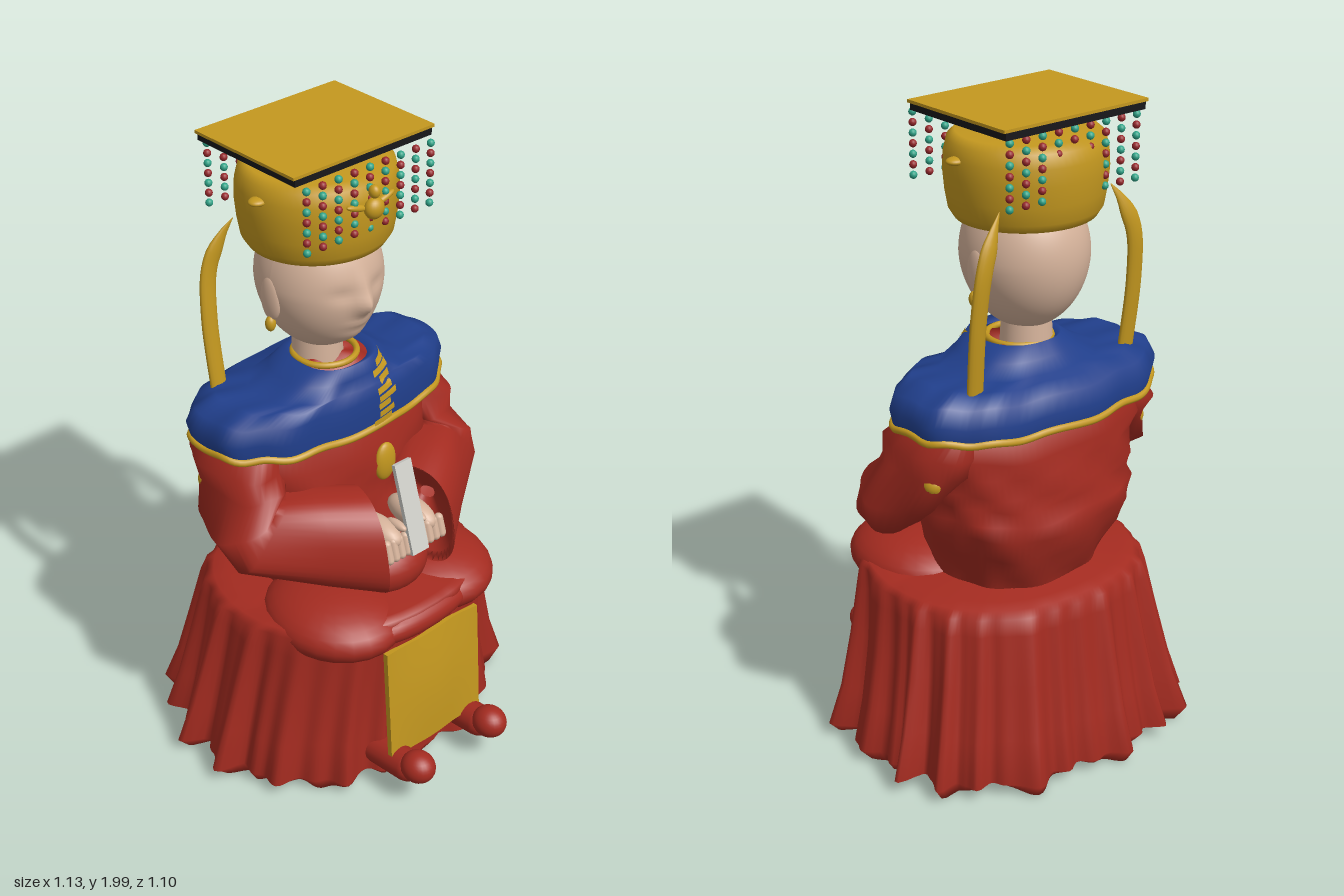
import * as THREE from 'three';

const mat = (name, color, side = THREE.FrontSide) => {
  const m = new THREE.MeshStandardMaterial({ color, side });
  m.name = name;
  return m;
};
const V = (x, y, z) => new THREE.Vector3(x, y, z);

// Closed-ring surface: f(i, a) gives the point on ring i at angle a
function loft(rows, seg, f, flip = false) {
  const pos = [], idx = [];
  for (let i = 0; i < rows; i++)
    for (let j = 0; j < seg; j++) pos.push(...f(i, (j / seg) * Math.PI * 2).toArray());
  for (let i = 0; i < rows - 1; i++)
    for (let j = 0; j < seg; j++) {
      const k = (j + 1) % seg, a = i * seg + j, b = i * seg + k, c = b + seg, d = a + seg;
      if (flip) idx.push(a, c, b, a, d, c);
      else idx.push(a, b, c, a, c, d);
    }
  const g = new THREE.BufferGeometry();
  g.setAttribute('position', new THREE.Float32BufferAttribute(pos, 3));
  g.setIndex(idx);
  g.computeVertexNormals();
  return g;
}

// Moves every vertex of a geometry by a rule
function reshape(geo, rule) {
  const p = geo.attributes.position;
  for (let i = 0; i < p.count; i++) p.setXYZ(i, ...rule(p.getX(i), p.getY(i), p.getZ(i)));
  geo.computeVertexNormals();
  return geo;
}

// Rounded horizontal ring from a row [y, half width, front z, back z]
const spow = (v, p) => Math.sign(v) * Math.abs(v) ** p;
function ring([y, rx, zf, zb], a, p = 0.88) {
  return V(rx * spow(Math.sin(a), p), y, (zf + zb) / 2 + ((zf - zb) / 2) * spow(Math.cos(a), p));
}

export function createModel() {
  const red = mat('robe red', 0xa42b20, THREE.DoubleSide);
  const blue = mat('cape blue', 0x203e8a, THREE.DoubleSide);
  const gold = mat('gold', 0xc4981f);
  const skin = mat('skin', 0xd6b39b);
  const black = mat('black', 0x17171a);
  const white = mat('tablet white', 0xcfcfc9);
  const green = mat('bead green', 0x2fa488);
  const beadRed = mat('bead red', 0x98282c);

  const root = new THREE.Group();
  const add = (name, geo, material, x = 0, y = 0, z = 0, parent = root) => {
    const m = new THREE.Mesh(geo, material);
    m.name = name;
    m.position.set(x, y, z);
    parent.add(m);
    return m;
  };
  const blob = (name, material, x, y, z, sx, sy, sz, parent) => {
    const m = add(name, new THREE.SphereGeometry(1, 24, 16), material, x, y, z, parent);
    m.scale.set(sx, sy, sz);
    return m;
  };

  // Pleated skirt, gathered underneath: [y, half width, front, back, pleat depth]
  const skirtRows = [
    [0.06, 0.01, -0.04, -0.06, 0], [0.05, 0.14, 0.08, -0.18, 0.01], [0.04, 0.3, 0.2, -0.31, 0.02],
    [0.025, 0.49, 0.35, -0.485, 0.05], [0.05, 0.515, 0.36, -0.505, 0.058], [0.18, 0.487, 0.345, -0.475, 0.042],
    [0.35, 0.455, 0.345, -0.447, 0.03], [0.5, 0.432, 0.355, -0.425, 0.018], [0.55, 0.425, 0.365, -0.418, 0.008],
    [0.568, 0.405, 0.365, -0.398, 0], [0.575, 0.36, 0.34, -0.36, 0], [0.59, 0.24, 0.2, -0.28, 0],
  ];
  add('pleatedSkirt', loft(skirtRows.length, 240, (i, a) => {
    const row = skirtRows[i], p = ring(row, a);
    const wave = 0.5 + 0.5 * Math.cos(18 * a + 1.6 * Math.sin(3 * a + 0.5) + 1.1 * Math.sin(5 * a + 1));
    const front = Math.max(0, Math.cos(a));
    const fine = 0.25 * Math.sin(31 * a + 2 * Math.sin(4 * a));
    const d = row[4] * (wave ** 2 * (1 + 0.4 * Math.sin(7 * a)) - 0.2 + fine) * (1 - 0.55 * front ** 2);
    p.x += Math.sin(a) * d;
    p.z += Math.cos(a) * d;
    if (i > 7) p.y += 0.04 * front;
    if (i > 0 && i < 3) p.y += 0.02 * (wave - 0.5);
    if (i === 3) p.y += 0.018 * Math.sin(11 * a);
    return p;
  }), red);

  // Upper robe with soft horizontal folds
  const torsoRows = [
    [0.56, 0.25, 0.14, -0.3], [0.62, 0.26, 0.13, -0.325], [0.7, 0.3, 0.12, -0.36], [0.78, 0.335, 0.11, -0.385],
    [0.83, 0.34, 0.1, -0.385], [0.87, 0.335, 0.1, -0.36], [0.92, 0.355, 0.1, -0.375], [0.97, 0.355, 0.1, -0.35],
    [1.03, 0.38, 0.09, -0.36], [1.12, 0.37, 0.07, -0.33], [1.2, 0.25, 0.03, -0.25], [1.29, 0.1, -0.01, -0.2],
    [1.29, 0.01, -0.1, -0.12],
  ];
  add('upperRobe', loft(torsoRows.length, 96, (i, a) => {
    const p = ring(torsoRows[i], a), d = i < 9 ? 0.007 * Math.sin(9 * a + i * 1.9) : 0;
    return p.add(V(Math.sin(a) * d, 0.01 * Math.sin(4 * a), Math.cos(a) * d));
  }), red);
  blob('lapFold', red, 0, 0.67, 0.15, 0.15, 0.1, 0.13);

  // Sleeves: [centre, axis u, axis v] from shoulder to cuff, then turned inside
  const sleeve = [
    [V(0.29, 1.12, -0.13), V(0.09, 0, 0), V(0, 0, 0.13)],
    [V(0.335, 1.05, -0.12), V(0.11, 0.01, 0), V(0, 0, 0.16)],
    [V(0.335, 0.985, -0.1), V(0.09, -0.01, -0.01), V(0.01, 0, 0.15)],
    [V(0.385, 0.92, -0.06), V(0.095, -0.05, -0.03), V(0.04, 0, 0.14)],
    [V(0.35, 0.87, 0.01), V(0.08, -0.11, -0.02), V(0.07, 0, 0.09)],
    [V(0.22, 0.835, 0.11), V(0, -0.145, 0.02), V(0.05, 0, 0.11)],
    [V(0.1, 0.815, 0.205), V(0, -0.155, 0.03), V(0.035, 0, 0.115)],
    [V(0.12, 0.815, 0.195), V(0, -0.135, 0.025), V(0.03, 0, 0.1)],
    [V(0.2, 0.815, 0.14), V(0, -0.02, 0), V(0.01, 0, 0.02)],
  ];
  // Flat strap path from the crown down to the shoulder
  const strapPath = new THREE.CatmullRomCurve3([V(0.205, 1.745, -0.25), V(0.24, 1.69, -0.265), V(0.277, 1.6, -0.275),
    V(0.292, 1.45, -0.265), V(0.286, 1.21, -0.24)]);

  for (const s of [1, -1]) {
    const side = s > 0 ? 'left' : 'right';
    add(side + 'Sleeve', loft(sleeve.length, 40, (i, b) => {
      const [c, u, v] = sleeve[i];
      const k = 1 + (i < 5 ? 0.06 * Math.sin(5 * b + i * 2) : 0);
      const p = c.clone().addScaledVector(u, k * spow(Math.cos(b), 0.8)).addScaledVector(v, k * spow(Math.sin(b), 0.8));
      p.x *= s;
      return p;
    }, s < 0), red);
    blob(side + 'Thigh', red, s * 0.19, 0.555, 0.14, 0.2, 0.1, 0.235);

    // Hand with four fingers and a thumb
    const hand = new THREE.Group();
    hand.name = side + 'Hand';
    hand.position.set(s * 0.07 - 0.01, 0.845, 0.215);
    root.add(hand);
    blob('palm', skin, 0, 0, 0, 0.045, 0.045, 0.095, hand);
    for (let i = 0; i < 4; i++) {
      const f = add('finger', new THREE.CapsuleGeometry(0.014, 0.05, 4, 10), skin, (i - 1.5) * 0.024, -0.022, 0.085, hand);
      f.rotation.x = -0.3;
    }
    blob('thumb', skin, -s * 0.03, 0.03, 0.05, 0.015, 0.015, 0.04, hand);

    // Shoe with round upturned toe
    const shoe = add(side + 'Shoe', new THREE.CapsuleGeometry(0.05, 0.16, 6, 18), red, s * 0.155 - 0.01, 0.115, 0.37);
    shoe.rotation.x = Math.PI / 2 - 0.1;
    blob(side + 'Toe', red, s * 0.155 - 0.01, 0.148, 0.495, 0.052, 0.05, 0.057);

    // Ear and earring
    blob(side + 'Ear', skin, s * 0.178 - 0.012, 1.53, -0.12, 0.018, 0.07, 0.04);
    blob(side + 'Earring', gold, s * 0.186 - 0.012, 1.452, -0.115, 0.016, 0.024, 0.016);

    // Gold strap with a pointed upper end
    add(side + 'Strap', loft(25, 14, (i, b) => {
      const t = i / 24, w = 0.028 * Math.min(1, 0.05 + t * 5);
      const p = strapPath.getPointAt(t), d = strapPath.getTangentAt(t);
      p.add(V(-d.y * Math.cos(b) * w, d.x * Math.cos(b) * w, Math.sin(b) * w * 0.5));
      p.x = p.x * s - 0.01;
      return p;
    }, s < 0), gold);
    blob(side + 'Hairpin', gold, s * 0.235 - 0.01, 1.86, -0.1, 0.03, 0.012, 0.025);
    blob(side + 'SashKnot', gold, s * 0.385, 0.965, -0.19, 0.035, 0.035, 0.035);
  }

  // Softly padded front apron panel
  const panelGeo = reshape(new THREE.BoxGeometry(0.38, 0.39, 0.014, 16, 16, 1), (x, y, z) => {
    const pad = 0.01 * Math.cos(x * 8) * Math.cos(y * 8) + 0.003 * Math.sin(x * 30 + 1);
    return [x, y + 0.004 * Math.sin(x * 25), z > 0 ? z + pad : z];
  });
  add('frontPanel', panelGeo, gold, -0.01, 0.335, 0.393).rotation.x = -0.07;
  blob('panelSwag', red, -0.01, 0.56, 0.33, 0.2, 0.05, 0.055);
  blob('sashRibbon', gold, 0.058, 0.97, 0.098, 0.04, 0.065, 0.02);

  // Shoulder cape
  const capeRows = [
    [1.1, 0.435, 0.085, -0.36], [1.15, 0.448, 0.085, -0.365], [1.2, 0.425, 0.08, -0.345], [1.23, 0.36, 0.072, -0.31],
    [1.235, 0.25, 0.065, -0.27], [1.27, 0.18, 0.055, -0.24], [1.31, 0.125, 0.045, -0.215], [1.295, 0.105, 0.02, -0.2],
  ];
  const capePoint = (i, a) => {
    const p = ring(capeRows[i], a, 0.82);
    const lift = i < 4 ? 0.015 * Math.sin(a) ** 2 + 0.004 * Math.sin(13 * a) : 0;
    const d = i < 5 ? 0.005 * Math.sin(10 * a + 1) : 0;
    return p.add(V(Math.sin(a) * d, lift, Math.cos(a) * d));
  };
  add('shoulderCape', loft(capeRows.length, 96, capePoint), blue);
  const hem = Array.from({ length: 64 }, (_, j) => capePoint(0, (j / 64) * Math.PI * 2));
  add('capeTrim', new THREE.TubeGeometry(new THREE.CatmullRomCurve3(hem, true), 160, 0.012, 8, true), gold);
  const collar = add('collarTrim', new THREE.TorusGeometry(0.095, 0.01, 8, 40), gold, -0.005, 1.297, -0.1);
  collar.rotation.x = Math.PI / 2;

  // Gold embroidery patches following the cape front
  const capeFront = (x, y) => {
    const i = Math.min(5, capeRows.filter(r => r[0] <= y).length - 1);
    const [lo, hi] = [i, i + 1].map(k => capePoint(k, Math.asin((x / capeRows[k][1]) ** (1 / 0.82))).z);
    const t = (y - capeRows[i][0]) / (capeRows[i + 1][0] - capeRows[i][0]);
    return lo + (hi - lo) * t;
  };
  for (let i = 0; i < 8; i++) {
    const cx = 0.058 + 0.028 * (i / 7) + (i % 2 ? 0.006 : -0.006), cy = 1.122 + 0.0245 * i;
    add('embroidery', reshape(new THREE.PlaneGeometry(0.072 - 0.012 * (i % 3), 0.019, 8, 4), (x, y) => {
      const px = cx + x, py = cy + y + 0.15 * x;
      return [px, py, capeFront(px, py) + 0.008];
    }), gold);
  }

  // Ceremonial tablet held in the hands
  const tablet = add('tablet', new THREE.BoxGeometry(0.065, 0.29, 0.014), white, -0.012, 0.93, 0.283);
  tablet.rotation.x = -0.3;

  // Neck and softly modelled head
  add('neck', new THREE.CylinderGeometry(0.072, 0.08, 0.14, 32), skin, -0.012, 1.32, -0.125);
  const bump = (x, y, cx, cy, w, h) => Math.exp(-(((x - cx) / w) ** 2) - ((y - cy) / h) ** 2);
  add('head', reshape(new THREE.SphereGeometry(1, 72, 56), (ux, uy, uz) => {
    const x = ux * 0.187 * (1 - 0.08 * Math.max(0, -uy)), y = uy * 0.225;
    let z = uz * 0.193;
    if (uz > 0) {
      z += 0.03 * bump(x, y, 0, -0.035, 0.028, 0.035) + 0.012 * bump(x, y, 0, 0.01, 0.02, 0.05);
      z += 0.009 * bump(x, y, 0, -0.1, 0.04, 0.014) + 0.012 * bump(x, y, 0, -0.15, 0.05, 0.03);
      z -= 0.008 * bump(Math.abs(x), y, 0.065, 0.01, 0.04, 0.022);
    }
    return [x, y, z];
  }), skin, -0.012, 1.557, -0.115);

  // Crown with rounded sides
  const crownProfile = [[0, 1.665], [0.17, 1.665], [0.21, 1.675], [0.226, 1.7], [0.235, 1.75], [0.241, 1.81], [0.238, 1.86], [0.228, 1.9], [0.205, 1.92], [0, 1.92]]
    .map(([r, y]) => new THREE.Vector2(r, y));
  const crown = add('crown', new THREE.LatheGeometry(crownProfile, 64), gold, -0.01, 0, -0.122);
  crown.scale.z = 0.945;
  add('crownPost', new THREE.CylinderGeometry(0.015, 0.015, 0.07, 16), black, -0.01, 1.945, -0.12);

  // Crown front ornament
  blob('ornamentBall', gold, -0.01, 1.84, 0.115, 0.032, 0.032, 0.025);
  blob('ornamentTop', gold, -0.01, 1.89, 0.115, 0.016, 0.02, 0.018);
  for (const s of [1, -1]) {
    const wing = blob('ornamentWing', gold, s * 0.05 - 0.01, 1.85, 0.1, 0.04, 0.01, 0.012);
    wing.rotation.z = s * 0.3;
  }

  // Flat board on top with bead strings front and back
  add('boardUnderside', new THREE.BoxGeometry(0.505, 0.022, 0.41), black, -0.01, 1.98, -0.128);
  add('boardTop', new THREE.BoxGeometry(0.52, 0.009, 0.416), gold, -0.01, 1.9955, -0.128);
  const bead = new THREE.SphereGeometry(0.0115, 12, 8);
  for (const z of [0.097, -0.322])
    for (let i = 0; i < 9; i++)
      for (let k = 0; k < 7; k++)
        add('bead', bead, (i + k) % 2 ? beadRed : green, -0.01 + (i - 4) * 0.0575, 1.957 - k * 0.0305, z);
  return root;
}
